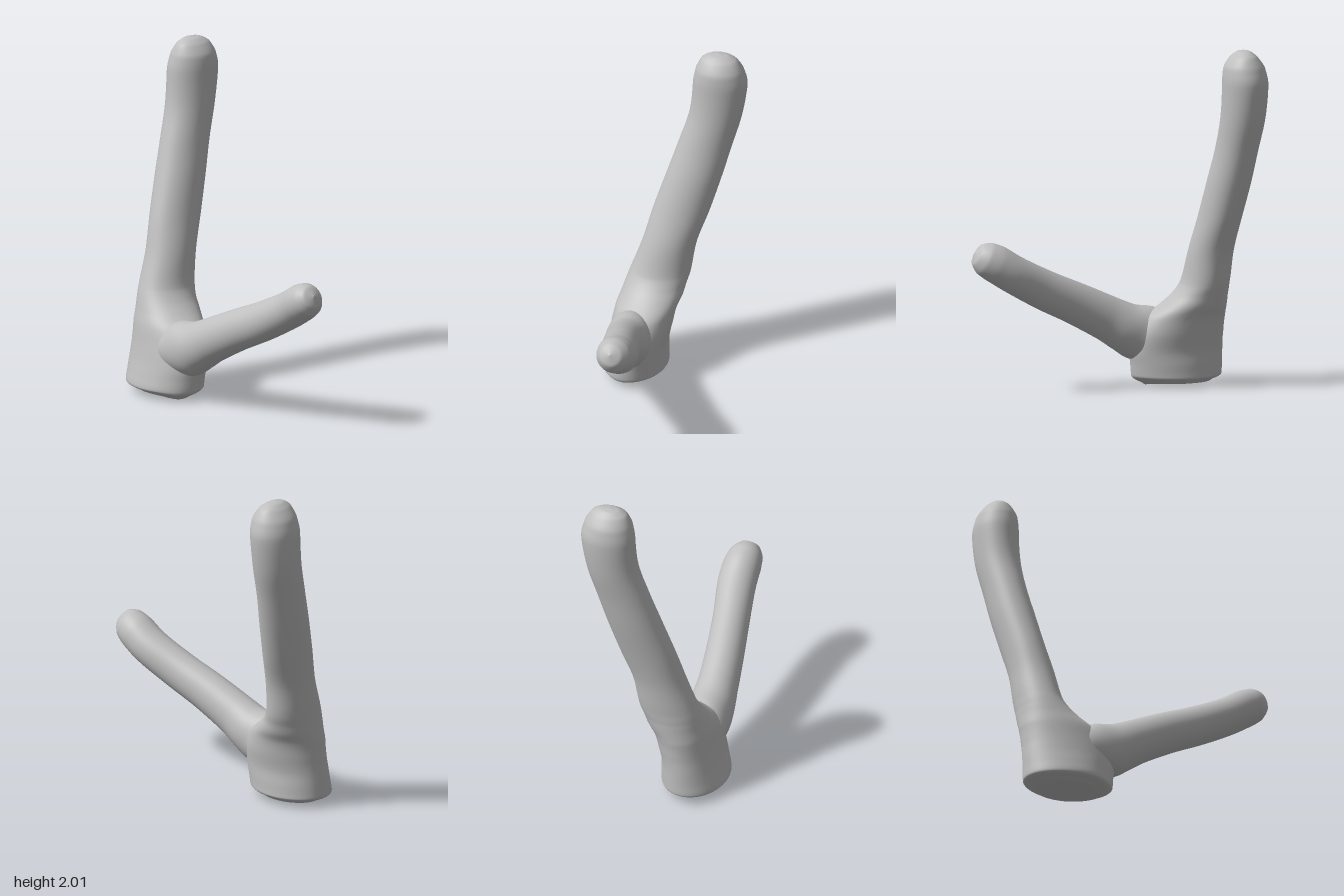
import * as THREE from 'three';

const SIDES = 40;
const STEPS = 6; // rings between two given sections

// Smooth closed skin through sections { c: centre, r: [ru, rv], u, v: ring axes }
function loft(sections, bump = () => 0) {
  const through = (pick) => new THREE.CatmullRomCurve3(sections.map(pick));
  const centre = through((s) => s.c);
  const radius = through((s) => new THREE.Vector3(s.r[0], s.r[1], 0));
  const axisU = through((s) => s.u);
  const axisV = through((s) => s.v);
  const rings = (sections.length - 1) * STEPS;
  const positions = [];
  const index = [];
  for (let i = 0; i <= rings; i++) {
    const t = i / rings;
    const c = centre.getPoint(t);
    const r = radius.getPoint(t);
    const u = axisU.getPoint(t).normalize();
    const v = axisV.getPoint(t).normalize();
    for (let j = 0; j < SIDES; j++) {
      const a = (j / SIDES) * Math.PI * 2;
      const p = c.clone()
        .addScaledVector(u, Math.max(r.x, 0) * Math.cos(a))
        .addScaledVector(v, Math.max(r.y, 0) * Math.sin(a));
      p.y += bump(p);
      positions.push(p.x, p.y, p.z);
      if (i < rings) {
        const k = (j + 1) % SIDES;
        const lo = i * SIDES;
        const hi = lo + SIDES;
        index.push(lo + j, lo + k, hi + k, lo + j, hi + k, hi + j);
      }
    }
  }
  const geometry = new THREE.BufferGeometry();
  geometry.setAttribute('position', new THREE.Float32BufferAttribute(positions, 3));
  geometry.setIndex(index);
  geometry.computeVertexNormals();
  return geometry;
}

// Main beam, level slices: y, x min, x max, z min, z max
const BEAM = [
  [0.025, -0.42, -0.42, 0.2, 0.2],
  [0.025, -0.64, -0.2, 0.04, 0.36],
  [0.05, -0.685, -0.15, 0.01, 0.4],
  [0.12, -0.685, -0.14, 0.01, 0.385],
  [0.2, -0.685, -0.13, 0.01, 0.365],
  [0.3, -0.685, -0.15, -0.01, 0.345],
  [0.4, -0.69, -0.21, -0.03, 0.325],
  [0.47, -0.69, -0.3, -0.06, 0.3],
  [0.53, -0.69, -0.365, -0.075, 0.28],
  [0.6, -0.693, -0.41, -0.095, 0.255],
  [0.8, -0.705, -0.445, -0.13, 0.185],
  [1.0, -0.735, -0.485, -0.2, 0.13],
  [1.2, -0.77, -0.517, -0.26, 0.065],
  [1.4, -0.797, -0.55, -0.315, 0.0],
  [1.6, -0.825, -0.567, -0.37, -0.06],
  [1.8, -0.835, -0.57, -0.4, -0.08],
  [1.9, -0.815, -0.578, -0.38, -0.098],
  [1.965, -0.77, -0.62, -0.34, -0.13],
  [1.992, -0.735, -0.66, -0.29, -0.175],
  [2.0, -0.7, -0.7, -0.23, -0.23],
];

// Side tine: centre x, y, z, then half depth and half thickness
const TINE = [
  [-0.42, 0.24, 0.2, 0.09, 0.09],
  [-0.3, 0.27, 0.2, 0.14, 0.15],
  [-0.2, 0.3, 0.205, 0.135, 0.168],
  [-0.1, 0.337, 0.2, 0.13, 0.146],
  [0.0, 0.39, 0.195, 0.12, 0.133],
  [0.2, 0.49, 0.172, 0.113, 0.123],
  [0.4, 0.582, 0.14, 0.11, 0.117],
  [0.6, 0.688, 0.106, 0.114, 0.111],
  [0.7, 0.75, 0.104, 0.112, 0.111],
  [0.77, 0.788, 0.108, 0.098, 0.1],
  [0.815, 0.812, 0.113, 0.062, 0.065],
  [0.833, 0.822, 0.115, 0, 0],
];

export function createModel() {
  const antler = new THREE.Group();
  antler.name = 'antler';
  const bone = new THREE.MeshStandardMaterial({ color: 0xbfbfbf });
  bone.name = 'greyBone';

  // Upright beam with a slightly lumpy foot
  const foot = (p) => -0.022 * Math.exp(-((p.x + 0.22) ** 2 + (p.z - 0.25) ** 2) / 0.008) * Math.max(0, 1 - p.y / 0.2);
  const beam = new THREE.Mesh(loft(BEAM.map(([y, x0, x1, z0, z1]) => ({
    c: new THREE.Vector3((x0 + x1) / 2, y, (z0 + z1) / 2),
    r: [(x1 - x0) / 2, (z1 - z0) / 2],
    u: new THREE.Vector3(1, 0, 0),
    v: new THREE.Vector3(0, 0, -1),
  })), foot), bone);
  beam.name = 'mainBeam';
  antler.add(beam);

  // Tine rising to the side, rings square to its slope
  const along = new THREE.Vector3(0.885, 0.465, 0).normalize();
  const depth = new THREE.Vector3(0, 0, 1);
  const across = along.clone().cross(depth);
  const tine = new THREE.Mesh(loft(TINE.map(([x, y, z, ru, rv]) => ({
    c: new THREE.Vector3(x, y, z), r: [ru, rv], u: depth, v: across,
  }))), bone);
  tine.name = 'sideTine';
  antler.add(tine);

  return antler;
}
